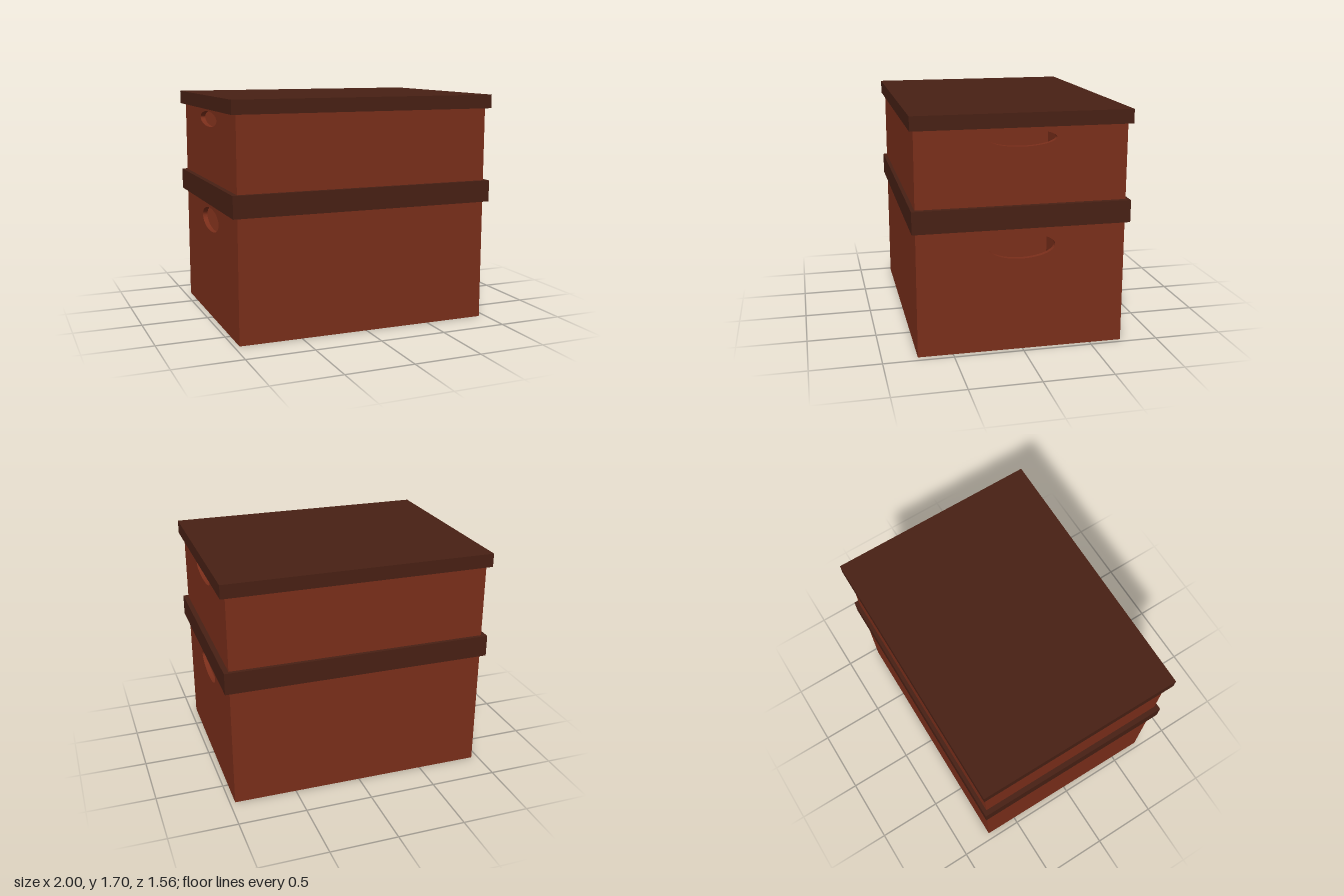
import * as THREE from 'three';

const BODY = { w: 1.913, d: 1.486 };
const LID = { w: 1.988, d: 1.541 };
const WALL = 0.035;

const bodyMaterial = new THREE.MeshStandardMaterial({ color: 0x7a2e1a });
const lidMaterial = new THREE.MeshStandardMaterial({ color: 0x482014 });

function addBox(parent, name, material, size, position) {
  const mesh = new THREE.Mesh(new THREE.BoxGeometry(...size), material);
  mesh.name = name;
  mesh.position.set(...position);
  parent.add(mesh);
}

// End wall with an oval hand hole, extruded from -WALL/2 to WALL/2 along x
function endWallGeometry(y0, y1, holeY, holeHalfHeight) {
  const h = BODY.d / 2;
  const shape = new THREE.Shape([
    new THREE.Vector2(-h, y0), new THREE.Vector2(h, y0),
    new THREE.Vector2(h, y1), new THREE.Vector2(-h, y1),
  ]);
  const hole = new THREE.Path();
  hole.absellipse(0, holeY, 0.237, holeHalfHeight, 0, Math.PI * 2, true);
  shape.holes.push(hole);
  return new THREE.ExtrudeGeometry(shape, { depth: WALL, bevelEnabled: false, curveSegments: 32 })
    .translate(0, 0, -WALL / 2)
    .rotateY(Math.PI / 2);
}

// Hollow open-topped body: floor, two long walls, two end walls with hand holes
function makeBody(name, y0, y1, holeY, holeHalfHeight) {
  const body = new THREE.Group();
  body.name = name;
  const innerW = BODY.w - 2 * WALL;
  const innerD = BODY.d - 2 * WALL;
  addBox(body, 'floor', bodyMaterial, [innerW, WALL, innerD], [0, y0 + WALL / 2, 0]);
  const endGeometry = endWallGeometry(y0, y1, holeY, holeHalfHeight);
  for (const s of [-1, 1]) {
    addBox(body, s > 0 ? 'frontWall' : 'backWall', bodyMaterial,
      [innerW, y1 - y0, WALL], [0, (y0 + y1) / 2, s * (BODY.d - WALL) / 2]);
    const end = new THREE.Mesh(endGeometry, bodyMaterial);
    end.name = s > 0 ? 'leftEndWall' : 'rightEndWall';
    end.position.x = s * (BODY.w - WALL) / 2;
    body.add(end);
  }
  return body;
}

// Lid: top plate with a skirt that wraps the body rim
function makeLid(name, y0, y1) {
  const lid = new THREE.Group();
  lid.name = name;
  const skirtX = (LID.w - BODY.w) / 2;
  const skirtZ = (LID.d - BODY.d) / 2;
  const skirtH = y1 - WALL - y0;
  const y = y0 + skirtH / 2;
  addBox(lid, 'lidTop', lidMaterial, [LID.w, WALL, LID.d], [0, y1 - WALL / 2, 0]);
  for (const s of [-1, 1]) {
    addBox(lid, s > 0 ? 'frontSkirt' : 'backSkirt', lidMaterial,
      [BODY.w, skirtH, skirtZ], [0, y, s * (LID.d - skirtZ) / 2]);
    addBox(lid, s > 0 ? 'leftSkirt' : 'rightSkirt', lidMaterial,
      [skirtX, skirtH, LID.d], [s * (LID.w - skirtX) / 2, y, 0]);
  }
  return lid;
}

export function createModel() {
  const model = new THREE.Group();
  model.name = 'stackedStorageBoxes';
  // Lower, taller box
  model.add(makeBody('lowerBody', 0, 1.06 - WALL, 0.762, 0.089));
  model.add(makeLid('lowerLid', 0.9, 1.06));
  // Upper, shallower box
  model.add(makeBody('upperBody', 1.06, 1.7 - WALL, 1.521, 0.057));
  model.add(makeLid('upperLid', 1.6, 1.7));
  // The stack sits very slightly turned
  model.rotation.y = -0.0075;
  return model;
}
